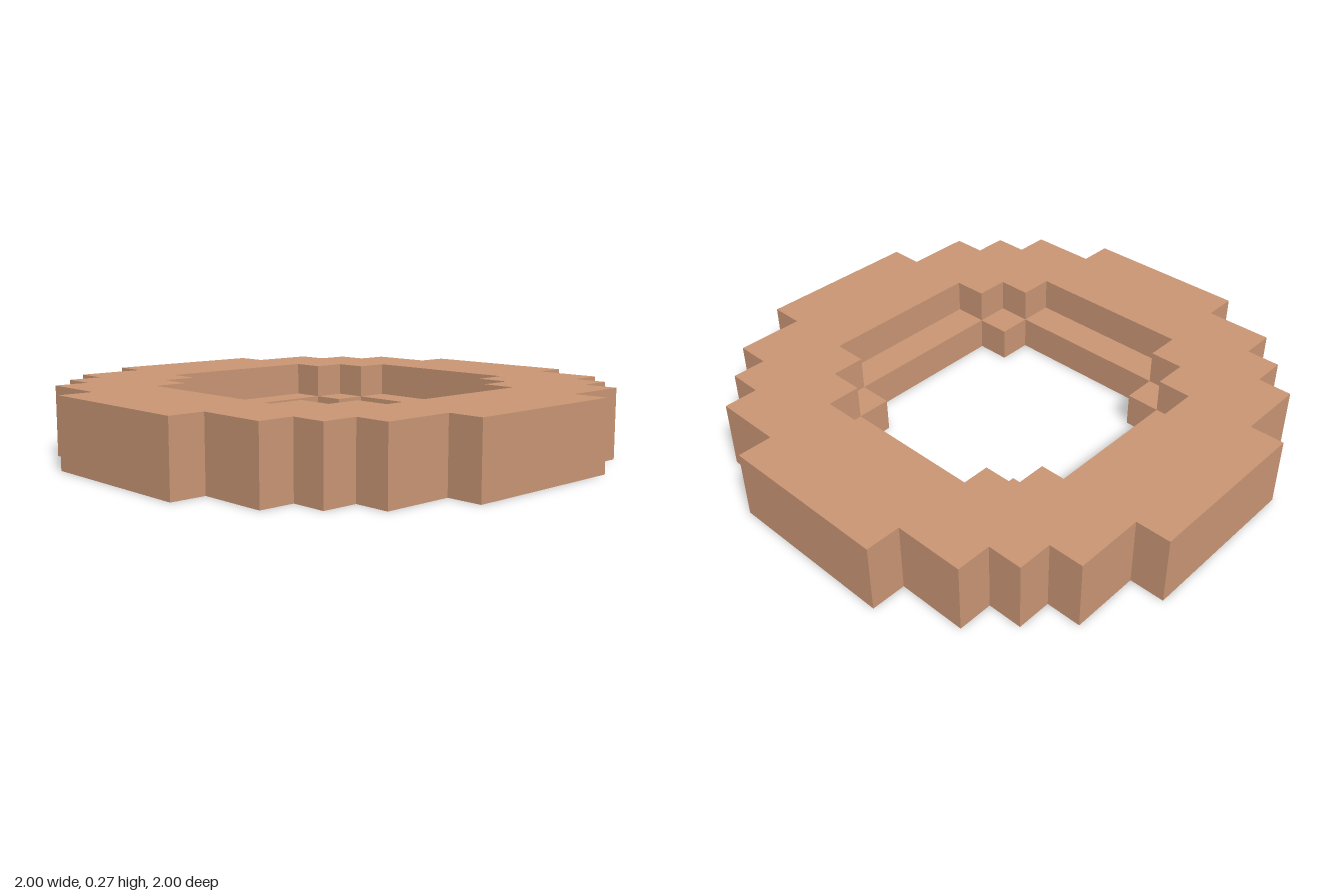
import * as THREE from 'three';

const U = 2 / 15; // one grid block
const HEIGHT = 2 * U;

// Stepped ring outline from the outer corners of one quadrant, turned four times
function steppedOutline(corners) {
  const quadrant = [];
  corners.forEach(([x, z], i) => {
    quadrant.push([x, z]);
    if (i < corners.length - 1) quadrant.push([corners[i + 1][0], z]);
  });
  const points = [];
  for (let turn = 0; turn < 4; turn++) {
    for (let [x, z] of quadrant) {
      for (let k = 0; k < turn; k++) [x, z] = [-z, x];
      points.push(new THREE.Vector2(x * U, z * U));
    }
  }
  return points;
}

// Upright wall following a closed outline; faces outwards unless inward is set
function wallGeometry(outline, y0, y1, inward = false) {
  const pts = inward ? [...outline].reverse() : outline;
  const positions = [];
  pts.forEach((a, i) => {
    const b = pts[(i + 1) % pts.length];
    positions.push(
      a.x, y0, a.y, a.x, y1, a.y, b.x, y1, b.y,
      a.x, y0, a.y, b.x, y1, b.y, b.x, y0, b.y
    );
  });
  const geometry = new THREE.BufferGeometry();
  geometry.setAttribute('position', new THREE.Float32BufferAttribute(positions, 3));
  geometry.computeVertexNormals();
  return geometry;
}

export function createModel() {
  const model = new THREE.Group();
  model.name = 'steppedRing';
  const clay = new THREE.MeshStandardMaterial({ color: 0xc89573, side: THREE.DoubleSide });
  clay.name = 'clay';

  const add = (name, geometry, parent = model) => {
    const mesh = new THREE.Mesh(geometry, clay);
    mesh.name = name;
    parent.add(mesh);
    return mesh;
  };

  const outer = steppedOutline([[7.5, 2.5], [6.5, 4.5], [5.5, 5.5], [4.5, 6.5], [2.5, 7.5]]);
  const upperHole = steppedOutline([[4.5, 2.5], [3.5, 3.5], [2.5, 4.5]]);
  const lowerHole = steppedOutline([[3.5, 2.5], [2.5, 3.5]]);

  // Flat top; the shell is open underneath
  const topShape = new THREE.Shape(outer);
  topShape.holes.push(new THREE.Path(upperHole));
  add('top', new THREE.ShapeGeometry(topShape).rotateX(-Math.PI / 2)).position.y = HEIGHT;

  // Outer wall and the two tiers of the opening
  add('outerWall', wallGeometry(outer, 0, HEIGHT));
  add('upperInnerWall', wallGeometry(upperHole, U, HEIGHT, true));
  add('lowerInnerWall', wallGeometry(lowerHole, 0, U, true));

  // Ledge inside the opening: a strip and a corner block top on each quarter
  const ledge = new THREE.Group();
  ledge.name = 'ledge';
  model.add(ledge);
  for (let i = 0; i < 4; i++) {
    const quarter = new THREE.Group();
    quarter.name = 'ledgeQuarter';
    quarter.rotation.y = (i * Math.PI) / 2;
    ledge.add(quarter);
    add('ledgeStrip', new THREE.PlaneGeometry(5 * U, U).rotateX(-Math.PI / 2), quarter)
      .position.set(0, U, 4 * U);
    add('ledgeCorner', new THREE.PlaneGeometry(U, U).rotateX(-Math.PI / 2), quarter)
      .position.set(3 * U, U, 3 * U);
  }
  return model;
}
